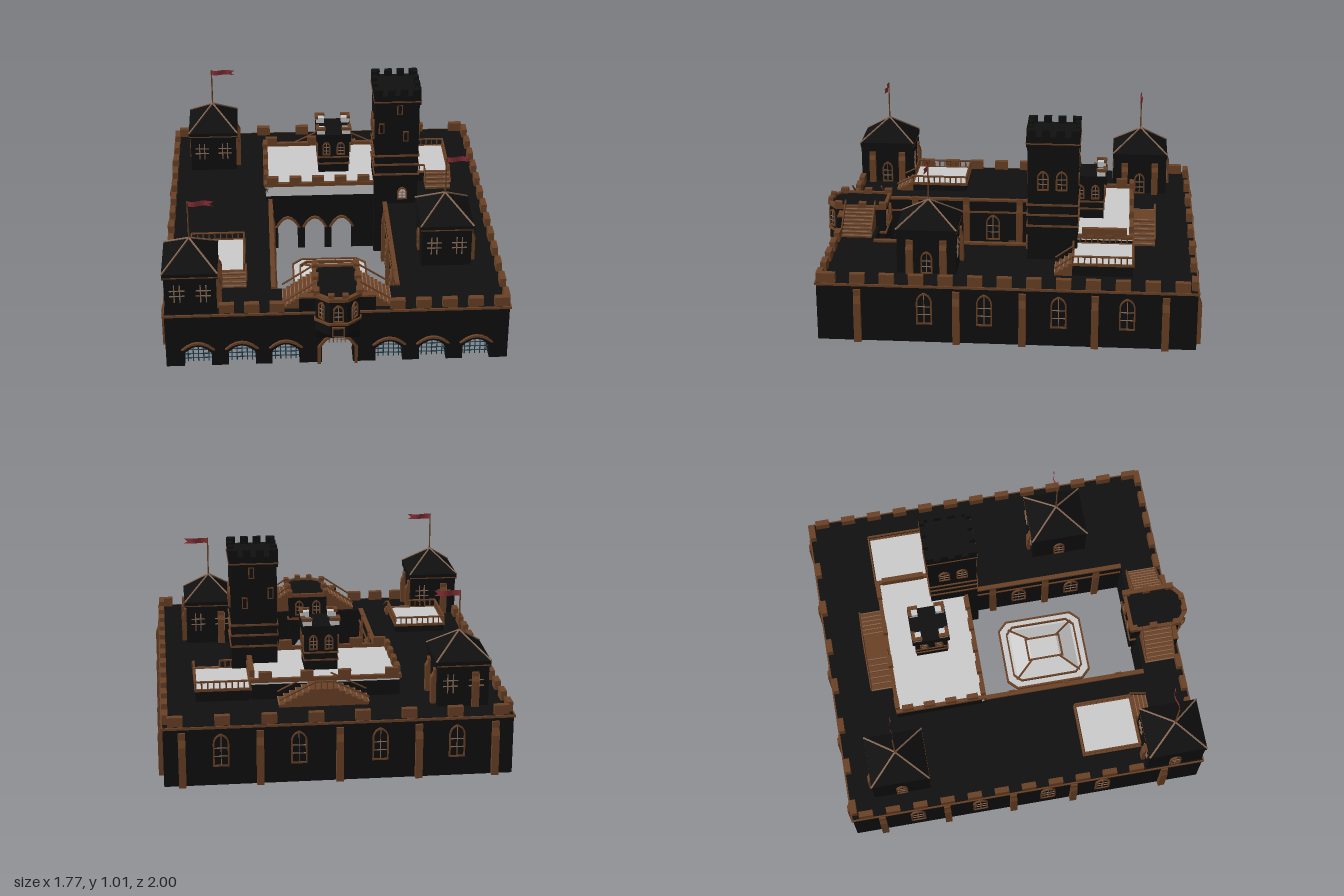
import * as THREE from 'three';

const mat = (color, side = THREE.FrontSide) => new THREE.MeshStandardMaterial({ color, side, flatShading: true });
const STONE = mat(0x101010), SHELL = mat(0x101010, THREE.DoubleSide), BROWN = mat(0x6b4226), TRIM = mat(0x8a6a55);
const GREY = mat(0xcccccc, THREE.DoubleSide), IRON = mat(0x1f4254), RED = mat(0x8a3038, THREE.DoubleSide);

export function createModel() {
  const root = new THREE.Group();
  const add = (p, name, geo, m, x = 0, y = 0, z = 0, ry = 0) => {
    const o = new THREE.Mesh(geo, m);
    o.name = name; o.position.set(x, y, z); o.rotation.y = ry; p.add(o);
    return o;
  };
  const group = (p, name, x = 0, y = 0, z = 0, ry = 0) => {
    const g = new THREE.Group();
    g.name = name; g.position.set(x, y, z); g.rotation.y = ry; p.add(g);
    return g;
  };
  // box given by its ranges
  const span = (p, name, m, x0, x1, y0, y1, z0, z1) => add(p, name,
    new THREE.BoxGeometry(x1 - x0, y1 - y0, z1 - z0), m, (x0 + x1) / 2, (y0 + y1) / 2, (z0 + z1) / 2);
  const bar = (p, name, m, a, b, r) => {
    const A = new THREE.Vector3(...a), B = new THREE.Vector3(...b), d = B.clone().sub(A);
    const o = add(p, name, new THREE.CylinderGeometry(r, r, d.length(), 5), m);
    o.position.copy(A).add(B).multiplyScalar(0.5);
    o.quaternion.setFromUnitVectors(new THREE.Vector3(0, 1, 0), d.normalize());
  };
  const extrude = (shape, depth) => new THREE.ExtrudeGeometry(shape, { depth, bevelEnabled: false, curveSegments: 6 });
  const poly = pts => new THREE.Shape(pts.map(p => new THREE.Vector2(...p)));
  // horizontal slab from an (x, z) outline, hanging down from its top
  const slab = (p, name, m, shape, top, depth) => add(p, name, extrude(shape, depth).rotateX(Math.PI / 2), m, 0, top, 0);
  // string course round a rectangle
  const band = (p, name, m, x0, x1, z0, z1, y, h = 0.012, t = 0.008) => {
    for (const z of [z0, z1]) span(p, name, m, x0 - t, x1 + t, y, y + h, z - t, z + t);
    for (const x of [x0, x1]) span(p, name, m, x - t, x + t, y, y + h, z0, z1);
  };
  // evenly spaced merlons along a line
  const merlons = (p, m, n, a, b, y, h, len, t) => {
    const alongX = a[1] === b[1];
    for (let i = 0; i < n; i++) {
      const k = n > 1 ? i / (n - 1) : 0.5;
      add(p, 'merlon', new THREE.BoxGeometry(alongX ? len : t, h, alongX ? t : len), m,
        a[0] + (b[0] - a[0]) * k, y + h / 2, a[1] + (b[1] - a[1]) * k);
    }
  };
  const archShape = (w, h, Type = THREE.Shape) => {
    const s = new Type(), r = w / 2, spring = h - w * 0.65;
    s.moveTo(-r, 0); s.lineTo(r, 0); s.lineTo(r, spring);
    s.quadraticCurveTo(r * 0.95, h - r * 0.35, 0, h);
    s.quadraticCurveTo(-r * 0.95, h - r * 0.35, -r, spring);
    s.closePath();
    return s;
  };
  const archWindow = (p, x, y, z, ry, w, h, pane = STONE) => {
    const g = group(p, 'archedWindow', x, y, z, ry), f = archShape(w, h), t = 0.008;
    const hole = archShape(w - 2 * t, h - 2 * t, THREE.Path).getPoints(6).map(q => new THREE.Vector2(q.x, q.y + t));
    f.holes.push(new THREE.Path(hole));
    add(g, 'frame', extrude(f, 0.01), BROWN);
    add(g, 'pane', extrude(archShape(w - t, h - t), 0.003), pane);
    span(g, 'mullion', TRIM, -0.002, 0.002, t, h - t, 0, 0.007);
    for (const k of [0.3, 0.55]) span(g, 'crossbar', TRIM, -w / 2, w / 2, h * k, h * k + 0.004, 0, 0.007);
  };
  const slitWindow = (p, x, y, z, ry, w = 0.03, h = 0.06) => {
    const g = group(p, 'slitWindow', x, y, z, ry);
    span(g, 'frame', BROWN, -w / 2, w / 2, 0, h, 0, 0.006);
    span(g, 'pane', STONE, -w / 2 + 0.006, w / 2 - 0.006, 0.006, h - 0.006, 0, 0.008);
  };
  const buttress = (p, x, y, z, ry, h, out = 0.025) => add(p, 'buttress', extrude(poly([[0, 0], [out, 0], [out, h * 0.75],
    [out / 2, h * 0.88], [out / 2, h], [0, h]]), 0.036).translate(0, 0, -0.018), BROWN, x, y, z, ry);
  // flight rising along its local +x
  const stairs = (p, x, y, z, ry, run, width, rise, n = 6) => {
    const g = group(p, 'stairs', x, y, z, ry);
    for (let i = 0; i < n; i++) {
      const x0 = run * i / n, top = rise * (i + 1) / n;
      span(g, 'step', BROWN, x0, run, 0, top, -width / 2, width / 2);
      span(g, 'nosing', TRIM, x0 - 0.002, x0 + 0.002, top - 0.004, top + 0.001, -width / 2, width / 2);
    }
    for (const s of [-1, 1]) bar(g, 'handrail', BROWN, [0, 0.04, s * width / 2], [run, rise + 0.04, s * width / 2], 0.005);
  };
  const railing = (p, a, b, y, h = 0.04) => {
    const n = Math.max(2, Math.round(Math.hypot(b[0] - a[0], b[1] - a[1]) / 0.03));
    bar(p, 'rail', BROWN, [a[0], y + h, a[1]], [b[0], y + h, b[1]], 0.006);
    for (let i = 0; i <= n; i++) {
      const x = a[0] + (b[0] - a[0]) * i / n, z = a[1] + (b[1] - a[1]) * i / n;
      bar(p, 'baluster', BROWN, [x, y, z], [x, y + h, z], 0.004);
    }
  };
  // wall with arched openings cut from its foot: [centre, halfWidth, spring, crown]
  const archedWall = (p, name, x0, x1, h, arches, z, depth) => {
    const s = new THREE.Shape();
    s.moveTo(x0, 0);
    for (const [c, w, sp, cr] of arches) {
      s.lineTo(c - w, 0); s.lineTo(c - w, sp);
      s.quadraticCurveTo(c, 2 * cr - sp, c + w, sp);
      s.lineTo(c + w, 0);
    }
    s.lineTo(x1, 0); s.lineTo(x1, h); s.lineTo(x0, h);
    add(p, name, extrude(s, depth), SHELL, 0, 0, z);
  };
  const hood = (p, x, w, sp, cr, z, t = 0.012) => {
    const s = new THREE.Shape();
    s.moveTo(-w, sp); s.quadraticCurveTo(0, 2 * cr - sp, w, sp);
    s.lineTo(w - t, sp); s.quadraticCurveTo(0, 2 * cr - sp - 2 * t, t - w, sp);
    add(p, 'archHood', extrude(s, 0.015), BROWN, x, 0, z);
  };

  // outer ring: walls, roof and courtyard sides
  const R = 0.31, ring = group(root, 'curtainWalls');
  span(ring, 'backWall', SHELL, -0.86, 0.86, 0, R, -0.975, -0.935);
  for (const s of [-1, 1]) {
    span(ring, 'sideWall', SHELL, s * 0.84 - 0.02, s * 0.84 + 0.02, 0, R, -0.975, 0.92);
    span(ring, 'courtSideWall', SHELL, s * 0.325 - 0.015, s * 0.325 + 0.015, 0, R, -0.17, 0.71);
    span(ring, 'courtCoping', BROWN, s * 0.315 - 0.012, s * 0.315 + 0.012, R, R + 0.012, -0.17, 0.71);
    span(ring, 'courtString', BROWN, s * 0.31 - 0.006, s * 0.31 + 0.006, 0.24, 0.25, -0.17, 0.71);
    span(ring, 'gatePassageWall', SHELL, s * 0.1 - 0.01, s * 0.1 + 0.01, 0, R, 0.71, 0.84);
    for (const z of [-0.02, 0.28, 0.57]) buttress(ring, s * 0.31, 0, z, s > 0 ? Math.PI : 0, 0.33, 0.018);
    for (const z of [0.13, 0.43]) archWindow(ring, s * 0.31, 0.08, z, -s * Math.PI / 2, 0.08, 0.15);
    for (const z of [-0.82, -0.47, -0.11, 0.22, 0.715]) buttress(ring, s * 0.86, 0, z, s > 0 ? 0 : Math.PI, 0.28);
    for (const z of [0.38, 0.08, -0.29, -0.63]) archWindow(ring, s * 0.86, 0.1, z, s * Math.PI / 2, 0.08, 0.17);
    merlons(ring, BROWN, s > 0 ? 13 : 11, [s * 0.848, -0.9], [s * 0.848, s > 0 ? 0.86 : 0.56], R, 0.05, 0.075, 0.03);
  }
  const roof = poly([[-0.86, -0.975], [0.86, -0.975], [0.86, 0.92], [-0.86, 0.92]]);
  roof.holes.push(poly([[-0.34, -0.65], [0.41, -0.65], [0.41, -0.17], [0.31, -0.17], [0.31, 0.71], [-0.31, 0.71], [-0.31, -0.17], [-0.34, -0.17]]));
  slab(ring, 'roofDeck', SHELL, roof, R, 0.02);
  band(ring, 'stringCourse', BROWN, -0.86, 0.86, -0.975, 0.92, 0.297);
  for (const x of [-0.77, -0.39, 0, 0.39, 0.77]) buttress(ring, x, 0, -0.975, Math.PI / 2, 0.28);
  for (const x of [-0.58, -0.2, 0.2, 0.58]) archWindow(ring, x, 0.1, -0.975, Math.PI, 0.08, 0.17);
  merlons(ring, BROWN, 8, [-0.8, -0.96], [0.8, -0.96], R, 0.05, 0.075, 0.03);
  merlons(ring, BROWN, 5, [0.3, 0.905], [0.82, 0.905], R, 0.05, 0.075, 0.03);
  merlons(ring, BROWN, 3, [-0.55, 0.905], [-0.3, 0.905], R, 0.05, 0.075, 0.03);

  // front arcade with barred openings
  const bays = [-0.7, -0.48, -0.26, 0.26, 0.48, 0.7];
  const gateArch = [0, 0.078, 0.1, 0.17];
  archedWall(ring, 'frontWall', -0.86, 0.86, R, [...bays.slice(0, 3).map(x => [x, 0.068, 0.075, 0.115]), gateArch,
    ...bays.slice(3).map(x => [x, 0.068, 0.075, 0.115])], 0.82, 0.1);
  archedWall(ring, 'courtFrontWall', -0.31, 0.31, R, [gateArch], 0.71, 0.03);
  for (const x of bays) {
    hood(ring, x, 0.085, 0.1, 0.145, 0.918);
    const g = group(ring, 'barredWindow', x, 0, 0.88);
    for (let i = -2; i <= 2; i++) bar(g, 'bar', IRON, [i * 0.026, 0, 0], [i * 0.026, 0.108 - i * i * 0.008, 0], 0.003);
    for (const y of [0.02, 0.045, 0.07]) bar(g, 'crossbar', IRON, [-0.068, y, 0], [0.068, y, 0], 0.003);
  }

  // gatehouse with corbelled bay and side stairs
  const gate = group(root, 'gatehouse');
  const plan = poly([[-0.11, 0.68], [0.11, 0.68], [0.11, 0.94], [0.045, 0.99], [-0.045, 0.99], [-0.11, 0.94]]);
  slab(gate, 'upperStorey', STONE, plan, 0.42, 0.21);
  const corbel = slab(gate, 'corbel', STONE, plan, 0.21, 0.06), cp = corbel.geometry.attributes.position;
  for (let i = 0; i < cp.count; i++) if (cp.getY(i) < -0.03) cp.setZ(i, Math.min(cp.getZ(i), 0.925));
  corbel.geometry.computeVertexNormals();
  const rim = poly([[-0.118, 0.673], [0.118, 0.673], [0.118, 0.945], [0.048, 1], [-0.048, 1], [-0.118, 0.945]]);
  rim.holes.push(new THREE.Path(plan.getPoints().map(q => new THREE.Vector2(q.x * 0.9, 0.835 + (q.y - 0.835) * 0.93))));
  slab(gate, 'parapetRim', BROWN, rim, 0.43, 0.02);
  slab(gate, 'lowerBand', BROWN, rim, 0.285, 0.012);
  hood(gate, 0, 0.1, 0.1, 0.185, 0.921, 0.015);
  for (const s of [-1, 1]) {
    span(gate, 'gateJamb', BROWN, s * 0.093 - 0.008, s * 0.093 + 0.008, 0, 0.1, 0.915, 0.937);
    archWindow(gate, s * 0.0785, 0.3, 0.967, s * 0.915, 0.045, 0.095);
    for (const z of [0.69, 0.8, 0.93]) span(gate, 'merlon', BROWN, s * 0.105 - 0.015, s * 0.105 + 0.015, 0.42, 0.45, z - 0.02, z + 0.02);
    span(gate, 'merlon', BROWN, s * 0.035 - 0.015, s * 0.035 + 0.015, 0.42, 0.45, 0.97, 0.995);
    span(gate, 'stairParapet', STONE, s * 0.15 - 0.04, s * 0.15 + 0.04, R, 0.39, 0.895, 0.92);
    span(gate, 'parapetCap', BROWN, s * 0.15 - 0.04, s * 0.15 + 0.04, 0.39, 0.4, 0.89, 0.925);
    stairs(gate, s * 0.27, R, 0.81, s > 0 ? Math.PI : 0, 0.16, 0.16, 0.11, 8);
    archWindow(gate, s * 0.05, 0.3, 0.68, Math.PI, 0.05, 0.09);
  }
  archWindow(gate, 0, 0.29, 0.99, 0, 0.055, 0.1);
  span(gate, 'panelFrame', BROWN, -0.032, 0.032, 0.205, 0.26, 0.97, 0.998);
  span(gate, 'panel', STONE, -0.024, 0.024, 0.213, 0.252, 0.98, 1);
  for (const x of [-0.04, -0.02, 0, 0.02, 0.04]) bar(gate, 'portcullisBar', TRIM, [x, 0.09, 0.88], [x, 0.15, 0.88], 0.003);
  for (const y of [0.11, 0.135]) bar(gate, 'portcullisRail', TRIM, [-0.075, y, 0.88], [0.075, y, 0.88], 0.003);

  // raised terrace behind the courtyard
  const ter = group(root, 'terrace');
  span(ter, 'floor', GREY, -0.34, 0.41, 0.39, 0.4, -0.65, -0.17);
  archedWall(ter, 'arcadeWall', -0.34, 0.34, 0.34, [-0.22, -0.07, 0.08].map(x => [x, 0.055, 0.14, 0.19]), -0.2, 0.03);
  for (const x of [-0.22, -0.07, 0.08]) hood(ter, x, 0.07, 0.14, 0.21, -0.172);
  span(ter, 'frontBand', GREY, -0.34, 0.41, 0.34, 0.39, -0.19, -0.17);
  span(ter, 'backBand', SHELL, -0.34, 0.41, 0.29, 0.39, -0.65, -0.635);
  for (const x of [-0.34, 0.395]) span(ter, 'sideBand', SHELL, x, x + 0.015, 0.29, 0.39, -0.65, -0.17);
  band(ter, 'coping', BROWN, -0.34, 0.41, -0.645, -0.175, 0.4, 0.02, 0.01);
  merlons(ter, BROWN, 5, [-0.3, -0.18], [0.2, -0.18], 0.41, 0.045, 0.065, 0.025);
  for (const x of [-0.3, -0.06, 0.13, 0.34]) merlons(ter, BROWN, 1, [x, -0.645], [x, -0.645], 0.41, 0.045, 0.065, 0.025);
  for (const x of [-0.335, 0.405]) merlons(ter, BROWN, 4, [x, -0.59], [x, -0.42 + (x < 0 ? 0.18 : 0)], 0.41, 0.045, 0.06, 0.025);
  stairs(ter, -0.17, R, -0.71, 0, 0.18, 0.12, 0.09);
  stairs(ter, 0.28, R, -0.71, Math.PI, 0.18, 0.12, 0.09);
  span(ter, 'landing', BROWN, 0.01, 0.1, R, 0.4, -0.77, -0.65);
  railing(ter, [0.01, -0.77], [0.1, -0.77], 0.4);

  // small keep on the terrace
  const keep = group(root, 'smallKeep', 0.043, 0, -0.41);
  span(keep, 'body', STONE, -0.085, 0.085, 0.4, 0.635, -0.085, 0.085);
  for (const y of [0.45, 0.49]) band(keep, 'stringCourse', BROWN, -0.085, 0.085, -0.085, 0.085, y, 0.008, 0.005);
  span(keep, 'cornice', STONE, -0.096, 0.096, 0.595, 0.64, -0.1, 0.1);
  for (const a of [0, 1, 2, 3]) {
    const g = group(keep, 'keepSide', 0, 0, 0, a * Math.PI / 2);
    for (const x of [-0.04, 0.04]) archWindow(g, x, 0.51, 0.085, 0, 0.045, 0.08);
    span(g, 'cornerBlock', GREY, 0.048, 0.092, 0.635, 0.67, 0.048, 0.092);
    span(g, 'cornerCapA', BROWN, 0.044, 0.098, 0.665, 0.68, 0.08, 0.098);
    span(g, 'cornerCapB', BROWN, 0.08, 0.098, 0.665, 0.68, 0.044, 0.08);
  }

  // tall square tower
  const tower = group(root, 'tallTower', 0.375, 0, -0.24);
  span(tower, 'body', STONE, -0.118, 0.118, 0, 0.94, -0.128, 0.128);
  span(tower, 'crown', STONE, -0.125, 0.125, 0.92, 0.975, -0.135, 0.135);
  band(tower, 'crownString', BROWN, -0.123, 0.123, -0.133, 0.133, 0.935, 0.007, 0.005);
  for (const y of [0.49, 0.55, 0.605]) band(tower, 'stringCourse', BROWN, -0.118, 0.118, -0.128, 0.128, y, 0.01, 0.006);
  for (const s of [-1, 1]) {
    merlons(tower, STONE, 4, [-0.1, s * 0.122], [0.1, s * 0.122], 0.975, 0.035, 0.04, 0.026);
    merlons(tower, STONE, 4, [s * 0.112, -0.11], [s * 0.112, 0.11], 0.975, 0.035, 0.04, 0.026);
    for (const z of [-0.045, 0.05]) archWindow(tower, s * 0.118, 0.69, z, s * Math.PI / 2, 0.06, 0.105);
    for (const [x, y] of [[0.012, 0.86], [-0.085, 0.75], [0.047, 0.7]]) slitWindow(tower, x, y, s * 0.128, s > 0 ? 0 : Math.PI);
  }
  archWindow(tower, 0.035, 0.34, 0.128, 0, 0.055, 0.075, GREY);

  // roofed pavilions with flags
  for (const [px, pz] of [[-0.63, -0.69], [-0.725, 0.765], [0.583, 0.382]]) {
    const g = group(root, 'pavilion', px, 0, pz), hx = 0.137, hz = 0.153;
    span(g, 'body', STONE, -0.128, 0.128, R - 0.005, 0.52, -0.15, 0.15);
    span(g, 'eaves', STONE, -hx, hx, 0.515, 0.545, -hz, hz);
    band(g, 'eavesTrim', BROWN, -0.13, 0.13, -0.148, 0.148, 0.52, 0.006, 0.006);
    add(g, 'roof', new THREE.ConeGeometry(Math.SQRT2, 1, 4).rotateY(Math.PI / 4).scale(hx, 0.115, hz), STONE, 0, 0.6025, 0);
    for (const sx of [-1, 1]) for (const sz of [-1, 1]) bar(g, 'hip', TRIM, [sx * hx, 0.546, sz * hz], [0, 0.661, 0], 0.005);
    bar(g, 'flagpole', BROWN, [0, 0.655, 0], [0, 0.868, 0], 0.004);
    const flag = new THREE.PlaneGeometry(0.13, 0.028, 8, 2).translate(0.065, 0, 0), fp = flag.attributes.position;
    for (let i = 0; i < fp.count; i++) { // ripple and swallow tail
      const x = fp.getX(i);
      fp.setZ(i, 0.006 * Math.sin(x * 60));
      if (x > 0.125 && Math.abs(fp.getY(i)) < 0.005) fp.setX(i, 0.1);
    }
    add(g, 'flag', flag, RED, 0, 0.853, 0);
    for (const s of [-1, 1]) for (const x of [-0.065, 0.065]) {
      const w = group(g, 'crossWindow', x, 0.38, s * 0.15);
      for (const k of [-0.014, 0.014]) span(w, 'upright', TRIM, k - 0.003, k + 0.003, 0, 0.1, -0.004, 0.004);
      for (const y of [0.035, 0.065]) span(w, 'crossbar', TRIM, -0.038, 0.038, y, y + 0.005, -0.004, 0.004);
    }
    for (const z of [-0.085, 0.085]) buttress(g, 0.128, R, z, 0, 0.18);
    buttress(g, -0.06, R, -0.15, Math.PI / 2, 0.18, 0.02);
    archWindow(g, -0.128, 0.33, 0, -Math.PI / 2, 0.06, 0.12);
    archWindow(g, 0.128, R, 0, Math.PI / 2, 0.06, 0.12);
  }

  // railed roof decks with short stairs
  for (const [x0, z0, stairX, y] of [[-0.735, 0.295, -0.52, 0.355], [0.415, -0.655, 0.625, 0.375]]) {
    const g = group(root, 'roofDeckPlatform'), x1 = x0 + 0.275, z1 = z0 + 0.305;
    span(g, 'base', STONE, x0, x1, R, y - 0.012, z0, z1);
    span(g, 'deck', GREY, x0, x1, y - 0.012, y, z0, z1);
    band(g, 'edge', BROWN, x0, x1, z0, z1, y - 0.01, 0.012, 0.006);
    railing(g, [x0, z0], [x1, z0], y);
    railing(g, [x0, z0], [x0, z1], y);
    railing(g, [x1, z0], [x1, z1], y);
    railing(g, [x0, z1], [stairX - 0.07, z1], y);
    stairs(g, stairX, R, z1 + 0.09, Math.PI / 2, 0.09, 0.14, y - R, 4);
  }

  // courtyard basin: chamfered slab, kerb and hipped centre
  const basin = group(root, 'courtyardBasin', 0, 0, 0.22);
  const oct = (a, b, c) => [[-a, c - b], [c - a, -b], [a - c, -b], [a, c - b], [a, b - c], [a - c, b], [c - a, b], [-a, b - c]];
  slab(basin, 'slab', GREY, poly(oct(0.2, 0.233, 0.05)), 0.02, 0.02);
  const kerb = (a, b, c, t, y, h) => {
    const s = poly(oct(a, b, c));
    s.holes.push(poly(oct(a - t, b - t, c - t * 0.5)));
    slab(basin, 'kerb', BROWN, s, y, h);
  };
  kerb(0.204, 0.237, 0.05, 0.01, 0.026, 0.02);
  kerb(0.165, 0.197, 0.04, 0.008, 0.036, 0.018);
  add(basin, 'hippedCentre', new THREE.CylinderGeometry(0.45 * Math.SQRT2, Math.SQRT2, 0.05, 4).rotateY(Math.PI / 4).scale(0.145, 1, 0.175), GREY, 0, 0.045, 0);
  band(basin, 'innerFrame', BROWN, -0.062, 0.062, -0.095, 0.095, 0.066, 0.008, 0.005);
  for (const sx of [-1, 1]) for (const sz of [-1, 1]) bar(basin, 'rib', BROWN, [sx * 0.15, 0.024, sz * 0.18], [sx * 0.064, 0.07, sz * 0.08], 0.006);
  return root;
}
